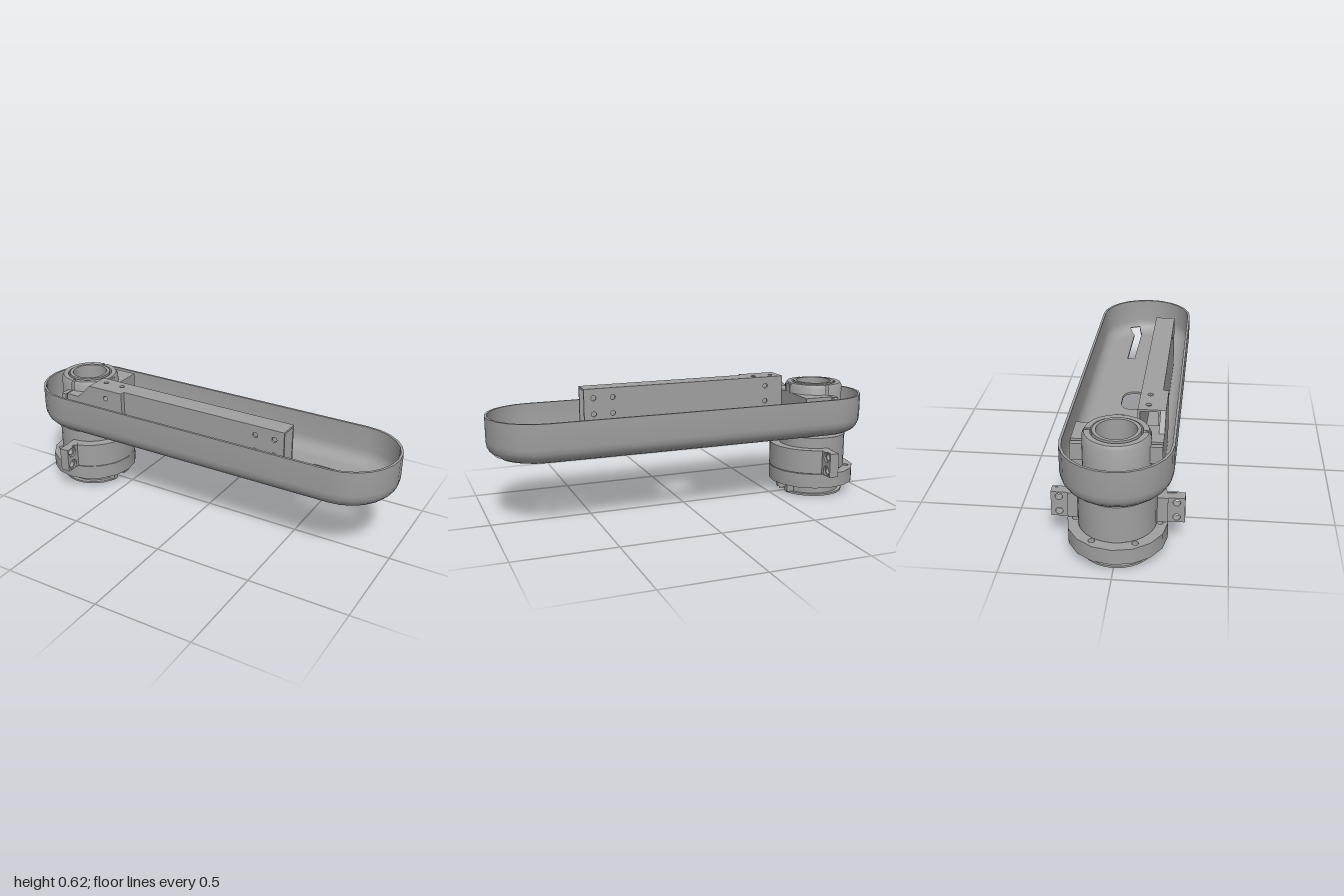
import * as THREE from 'three';
import { toCreasedNormals } from 'three/addons/utils/BufferGeometryUtils.js';

const HUB = -0.75; // x of the hub axis
const steel = new THREE.MeshStandardMaterial({ color: 0xa0a0a0, side: THREE.DoubleSide });
steel.name = 'steel grey';

export function createModel() {
  const model = new THREE.Group();
  model.name = 'armAssembly';

  const add = (name, geo, x = 0, y = 0, z = 0) => {
    const mesh = new THREE.Mesh(toCreasedNormals(geo, 0.6), steel);
    mesh.name = name;
    mesh.position.set(x, y, z);
    model.add(mesh);
    return mesh;
  };
  const box = (name, x0, x1, y0, y1, z0, z1) =>
    add(name, new THREE.BoxGeometry(x1 - x0, y1 - y0, z1 - z0), (x0 + x1) / 2, (y0 + y1) / 2, (z0 + z1) / 2);
  const poly = (pts) => new THREE.Shape(pts.map(([x, y]) => new THREE.Vector2(x, y)));
  const drill = (shape, holes) => {
    for (const [x, y, r] of holes) shape.holes.push(new THREE.Path().absarc(x, y, r, 0, Math.PI * 2, true));
    return shape;
  };
  const extrude = (shape, depth, curveSegments = 12) =>
    new THREE.ExtrudeGeometry(shape, { depth, curveSegments, bevelEnabled: false });
  // Flat slab: shape y becomes world z
  const slab = (name, shape, y0, y1, x = 0, segs = 12) =>
    add(name, extrude(shape, y1 - y0, segs).rotateX(Math.PI / 2), x, y1, 0);
  // Turned part about the hub axis; the profile is closed
  const turned = (name, pts, start = 0, length = Math.PI * 2) => {
    const profile = [...pts, pts[0]].map(([r, y]) => new THREE.Vector2(r, y));
    return add(name, new THREE.LatheGeometry(profile, 32, start, length), HUB, 0, 0);
  };
  const ring = (name, r0, r1, y0, y1) => turned(name, [[r0, y0], [r1, y0], [r1, y1], [r0, y1]]);

  // Tray wall: rounded profile swept around a stadium outline
  const SEG = 12, SLOT = 4;
  const outline = (r) => {
    const pts = [];
    for (const [cx, a0] of [[0.75, -Math.PI / 2], [-0.75, Math.PI / 2]])
      for (let i = 0; i <= SEG; i++) {
        const a = a0 + (Math.PI * i) / SEG;
        pts.push([cx + r * Math.cos(a), r * Math.sin(a)]);
      }
    return pts;
  };
  const profile = [];
  for (let i = 0; i <= 5; i++) {
    const t = (Math.PI / 10) * i;
    profile.push([0.17 + 0.08 * Math.sin(t), 0.415 - 0.08 * Math.cos(t)]);
  }
  profile.push([0.25, 0.537], [0.238, 0.537]);
  for (let i = 5; i >= 0; i--) {
    const t = (Math.PI / 10) * i;
    profile.push([0.17 + 0.068 * Math.sin(t), 0.415 - 0.068 * Math.cos(t)]);
  }
  const verts = [], index = [], n = 2 * (SEG + 1), last = profile.length - 1;
  profile.forEach(([r, y]) => outline(r).forEach(([x, z]) => verts.push(x, y, z)));
  for (let j = 0; j < last; j++)
    for (let i = 0; i < n; i++) {
      if (i === SLOT && (j < 3 || j >= last - 3)) continue; // slot runs up the rounded edge
      const a = j * n + i, b = j * n + ((i + 1) % n), c = a + n, d = b + n;
      index.push(a, c, b, b, c, d);
    }
  const wall = new THREE.BufferGeometry();
  wall.setAttribute('position', new THREE.Float32BufferAttribute(verts, 3));
  wall.setIndex(index);
  wall.computeVertexNormals();
  add('trayWall', wall);

  // Tray floor with end slot, oblong opening and hub bore
  const floorPts = outline(0.17);
  floorPts.splice(SLOT + 1, 0, [0.545, -0.09], [0.545, -0.05]);
  const floor = drill(poly(floorPts), [[HUB, 0, 0.1]]);
  const oblong = new THREE.Path();
  oblong.absarc(0.058, 0, 0.063, -Math.PI / 2, Math.PI / 2, false);
  oblong.absarc(-0.018, 0, 0.063, Math.PI / 2, Math.PI * 1.5, false);
  floor.holes.push(oblong);
  slab('trayFloor', floor, 0.335, 0.347);

  // Channel rail standing on the floor
  const sideHoles = [];
  for (const x of [0.35, 0.45]) for (const y of [0.49, 0.572]) sideHoles.push([x, y, 0.013]);
  sideHoles.push([-0.5, 0.572, 0.013], [-0.5, 0.49, 0.013]);
  for (const z of [0.075, 0.165]) {
    const side = drill(poly([[-0.6, 0.345], [0.5, 0.345], [0.5, 0.62], [-0.6, 0.62]]), sideHoles);
    add('railSide', extrude(side, 0.01), 0, 0, z);
  }
  const railTop = poly([[-0.6, 0.085], [0.5, 0.085], [0.5, 0.165], [-0.6, 0.165]]);
  slab('railTop', drill(railTop, [[-0.55, 0.12, 0.013], [-0.45, 0.12, 0.013]]), 0.61, 0.62);

  // Bevelled bracket plate beside the rail, and the block around the hub
  const bracket = poly([[-0.68, 0.36], [-0.4, 0.36], [-0.4, 0.62], [-0.6, 0.62], [-0.68, 0.54]]);
  add('bracketPlate', extrude(drill(bracket, [[-0.5, 0.572, 0.013]]), 0.025), 0, 0, 0.175);
  const block = poly([[0, 0.2], [0.15, 0.2], [0.15, -0.2], [0, -0.2], [0, -0.12]]);
  block.absarc(0, 0, 0.12, -Math.PI / 2, Math.PI / 2, false);
  slab('hubBlock', block, 0.36, 0.545, HUB);

  // Central tube and split upper collar
  ring('hubTube', 0.09, 0.106, 0, 0.6);
  for (const start of [0.05, Math.PI + 0.05])
    turned('upperCollar',
      [[0.115, 0.345], [0.15, 0.345], [0.15, 0.578], [0.14, 0.595], [0.115, 0.595]], start, Math.PI - 0.1);
  for (const s of [-1, 1]) box('upperCollarEar', -0.785, -0.76, 0.46, 0.54, s * 0.17 - 0.03, s * 0.17 + 0.03);
  box('collarKey', -0.61, -0.598, 0.545, 0.59, -0.018, 0.018);

  // Lower body
  ring('neck', 0.1, 0.11, 0.318, 0.34);
  ring('lowerBody', 0.1, 0.177, 0.14, 0.32);
  ring('spacer', 0.1, 0.135, 0.13, 0.145);

  // Half clamp band with bolted lugs
  const band = new THREE.Shape();
  band.absarc(0, 0, 0.225, -Math.PI / 2, Math.PI / 2, false);
  band.lineTo(0, 0.177);
  band.absarc(0, 0, 0.177, Math.PI / 2, -Math.PI / 2, true);
  slab('clampBand', band, 0.14, 0.265, HUB, 24);
  for (const s of [-1, 1])
    for (const [x, depth, r] of [[-0.745, 0.04, 0.017], [-0.705, 0.01, 0.027]]) {
      const lug = poly([[s * 0.2, 0.14], [s * 0.3, 0.14], [s * 0.3, 0.265], [s * 0.2, 0.265]]);
      drill(lug, [0.166, 0.241].map((y) => [s * 0.263, y, r]));
      add('clampLug', extrude(lug, depth).rotateY(Math.PI / 2), x, 0, 0);
    }

  // Faceted flange with bolt holes
  const flange = new THREE.Shape();
  flange.absarc(0, 0, 0.226, 0, Math.PI * 2, false);
  const bolts = [[0, 0, 0.1]];
  for (let i = 0; i < 6; i++) {
    const a = (Math.PI / 3) * i + Math.PI / 6;
    bolts.push([0.19 * Math.cos(a), 0.19 * Math.sin(a), 0.015]);
  }
  slab('flange', drill(flange, bolts), 0.06, 0.136, HUB, 8);

  // Lower split collar with V-shaped ears
  const a = Math.asin(0.065 / 0.15);
  const collar = poly([[0.1, 0.01], [0.13, 0.01], [0.175, 0.04], [0.175, 0.065]]);
  collar.absarc(0, 0, 0.15, a, Math.PI * 2 - a, false);
  for (const [x, z] of [[0.175, -0.065], [0.175, -0.04], [0.13, -0.01], [0.1, -0.01]]) collar.lineTo(x, z);
  collar.absarc(0, 0, 0.1, Math.PI * 2 - 0.1, 0.1, true);
  slab('lowerCollar', collar, 0.01, 0.06, HUB, 16);

  // Bottom rim, open where the ears are
  const rim = new THREE.Shape();
  rim.absarc(0, 0, 0.17, 0.21, Math.PI * 2 - 0.21, false);
  rim.absarc(0, 0, 0.095, Math.PI * 2 - 0.37, 0.37, true);
  slab('bottomRim', rim, 0, 0.01, HUB, 12);

  return model;
}
